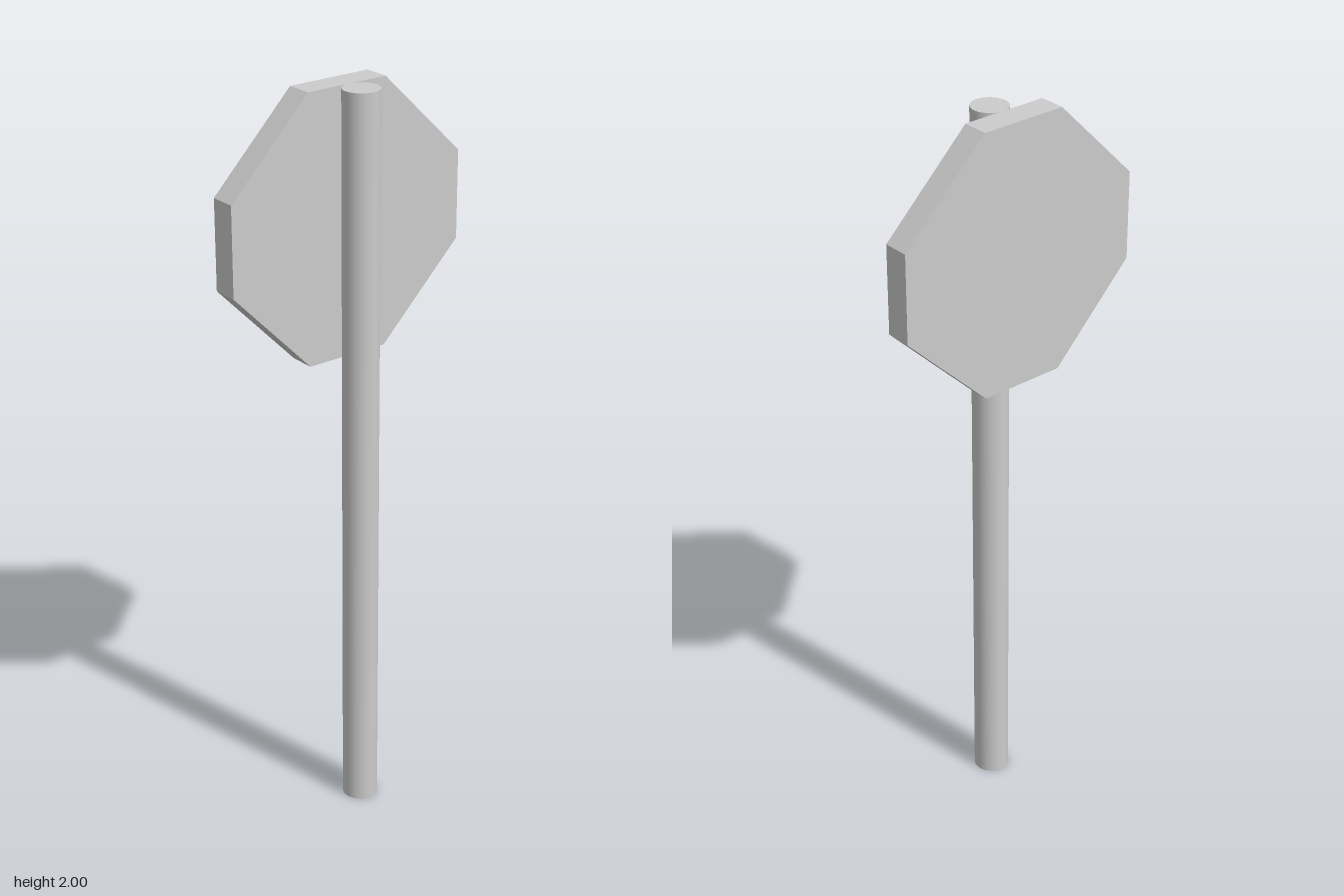
import * as THREE from 'three';

export function createModel() {
  const group = new THREE.Group();
  const material = new THREE.MeshStandardMaterial({ color: 0xcccccc });

  // Round post, standing on the ground
  const radius = 0.0475;
  const post = new THREE.Mesh(new THREE.CylinderGeometry(radius, radius, 2, 48), material);
  post.name = 'post';
  post.position.set(0.035, 1, 0);
  group.add(post);

  // Octagonal sign plate: outline as (z, y), extruded along x
  const outline = [
    [0.122, 1.3], [0.349, 1.535], [0.349, 1.77], [0.122, 2],
    [-0.112, 2], [-0.349, 1.77], [-0.349, 1.535], [-0.112, 1.3],
  ].map(([z, y]) => new THREE.Vector2(z, y));
  const plateGeometry = new THREE.ExtrudeGeometry(new THREE.Shape(outline), {
    depth: 0.07,
    bevelEnabled: false,
  });
  plateGeometry.rotateY(-Math.PI / 2);
  const plate = new THREE.Mesh(plateGeometry, material);
  plate.name = 'signPlate';
  plate.position.x = -0.0125;
  group.add(plate);

  return group;
}
